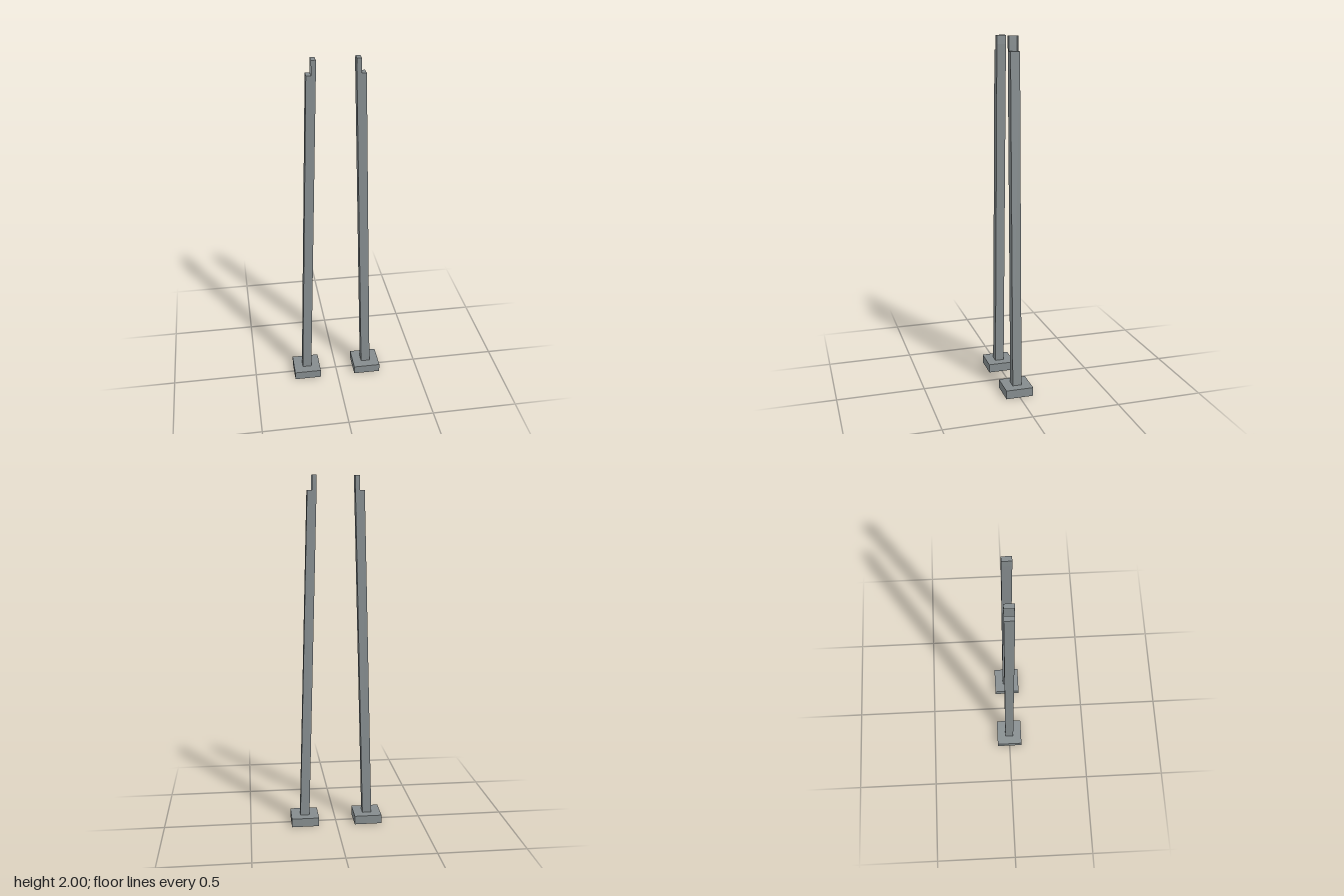
import * as THREE from 'three';

const metal = new THREE.MeshStandardMaterial({ color: 0x858c8e, side: THREE.DoubleSide });
metal.name = 'grey metal';

// Prism along z from a counter-clockwise outline; the edge numbered openEdge is left open
function prism(outline, halfDepth, openEdge) {
  const pos = [];
  const triangles = THREE.ShapeUtils.triangulateShape(outline, []);
  for (const [a, b, c] of triangles) {
    for (const i of [a, b, c]) pos.push(outline[i].x, outline[i].y, halfDepth);
    for (const i of [c, b, a]) pos.push(outline[i].x, outline[i].y, -halfDepth);
  }
  outline.forEach((p, i) => {
    if (i === openEdge) return;
    const q = outline[(i + 1) % outline.length];
    const corner = (v, z) => pos.push(v.x, v.y, z * halfDepth);
    corner(p, 1); corner(p, -1); corner(q, -1);
    corner(p, 1); corner(q, -1); corner(q, 1);
  });
  const geometry = new THREE.BufferGeometry();
  geometry.setAttribute('position', new THREE.Float32BufferAttribute(pos, 3));
  geometry.computeVertexNormals();
  return geometry;
}

function createPost(name) {
  const post = new THREE.Group();
  post.name = name;

  // Square foot plate
  const foot = new THREE.Mesh(new THREE.BoxGeometry(0.158, 0.05, 0.158), metal);
  foot.name = 'footPlate';
  foot.position.set(0.184, 0.025, 0);
  post.add(foot);

  // Leaning leg with a notched tongue, hollow on its outer side
  const outline = [
    [0.157, 0.05], [0.21, 0.05], [0.157, 1.92], [0.131, 1.92],
    [0.131, 2], [0.105, 2], [0.105, 1.95],
  ].map(([x, y]) => new THREE.Vector2(x, y));
  const leg = new THREE.Mesh(prism(outline, 0.026, 3), metal);
  leg.name = 'leg';
  post.add(leg);
  return post;
}

export function createModel() {
  const model = new THREE.Group();
  model.name = 'pairOfPosts';
  const left = createPost('leftPost');
  const right = createPost('rightPost');
  right.rotation.y = Math.PI;
  model.add(left, right);
  return model;
}
